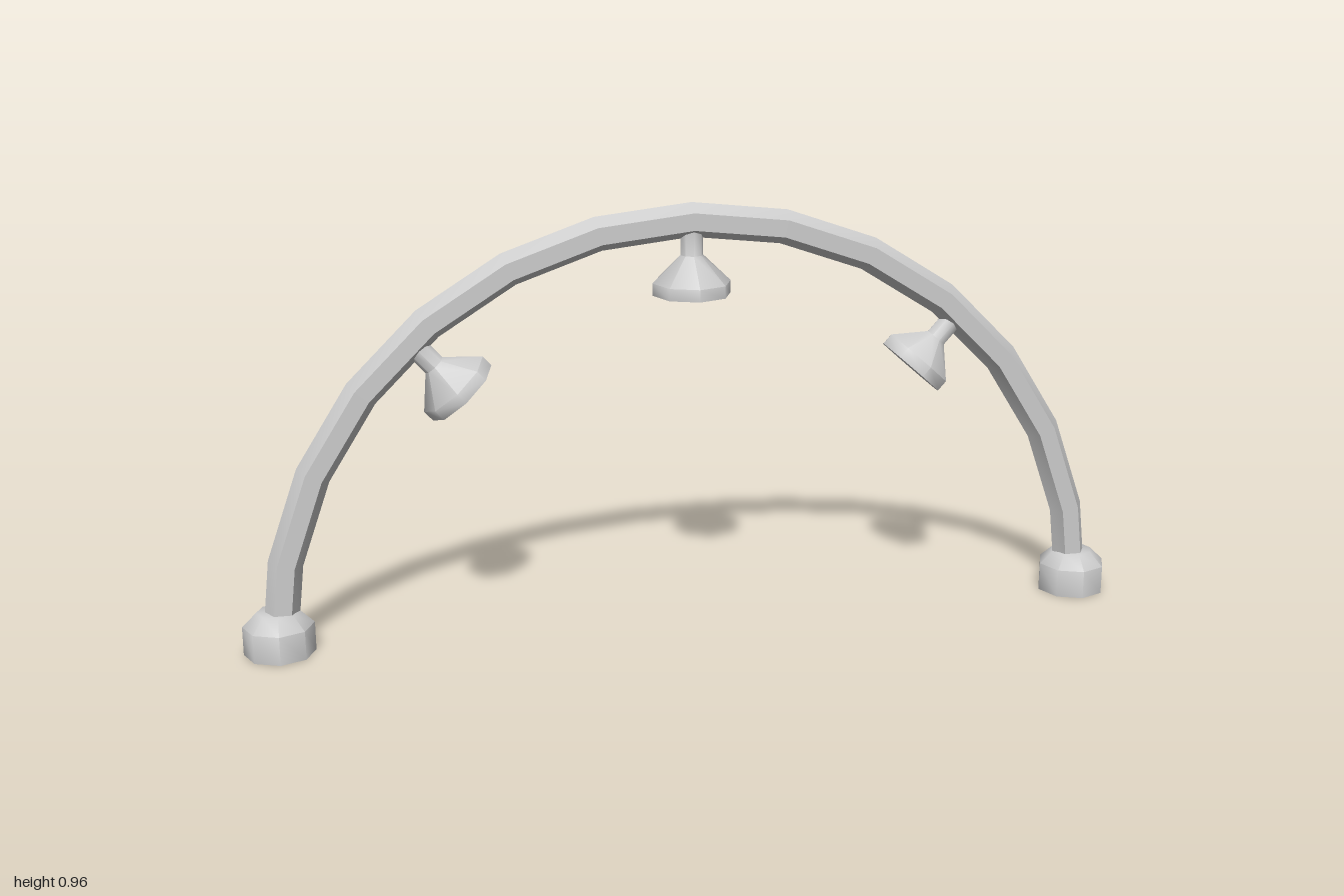
import * as THREE from 'three';
import { toCreasedNormals } from 'three/addons/utils/BufferGeometryUtils.js';

const CREASE = 0.9;
const ARCH_RADIUS = 0.922;

// Eight-sided turned part from [radius, height] pairs, bottom to top
function turned(profile) {
  const points = profile.map(([r, y]) => new THREE.Vector2(r, y));
  return toCreasedNormals(new THREE.LatheGeometry(points, 8), CREASE);
}

export function createModel() {
  const group = new THREE.Group();
  const grey = new THREE.MeshStandardMaterial({ color: 0xcccccc });
  grey.name = 'light grey';

  function add(name, geometry) {
    const mesh = new THREE.Mesh(geometry, grey);
    mesh.name = name;
    group.add(mesh);
    return mesh;
  }

  // Hexagonal tube bent in a half circle
  add('arch', toCreasedNormals(
    new THREE.TorusGeometry(ARCH_RADIUS, 0.038, 6, 14, Math.PI), CREASE));

  // Feet with a bevelled top edge
  const footGeometry = turned([[0, 0], [0.078, 0], [0.078, 0.065], [0.046, 0.096], [0, 0.096]]);
  for (const side of [-1, 1]) {
    add(side > 0 ? 'leftFoot' : 'rightFoot', footGeometry).position.x = side * ARCH_RADIUS;
  }

  // Lamps hanging under the arch, each aimed at its centre
  const lampGeometry = turned([
    [0, 0.758], [0.087, 0.758], [0.087, 0.785], [0.025, 0.845], [0.025, 0.91], [0, 0.91],
  ]);
  const lamps = { leftLamp: -0.73, middleLamp: 0, rightLamp: 0.73 };
  for (const [name, angle] of Object.entries(lamps)) {
    add(name, lampGeometry).rotation.z = angle;
  }

  return group;
}
